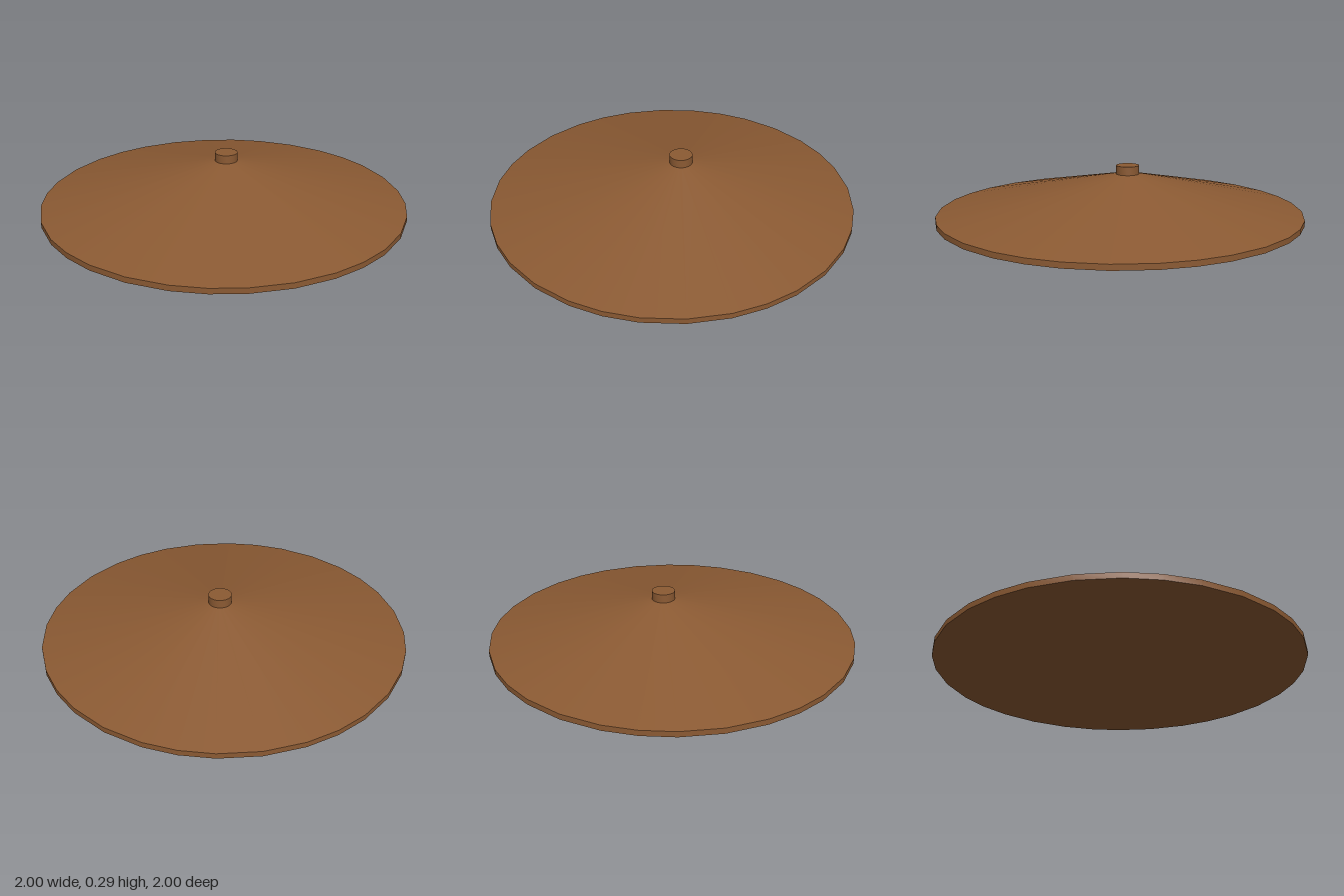
import * as THREE from 'three';
import { mergeGeometries } from 'three/addons/utils/BufferGeometryUtils.js';

// Rim angles: eight arcs of four unequal steps, clockwise seen from above
const ANGLES = [];
for (let arc = 0; arc < 8; arc++) {
  for (const step of [0, 10.15, 22.5, 34.85]) {
    ANGLES.push(THREE.MathUtils.degToRad(4.7 + arc * 45 + step));
  }
}

// The hub sits slightly off the centre of the disc
const HUB = { x: 0.015, z: -0.05, r: 0.063 };
const ring = (r, y, x = 0, z = 0) => ANGLES.map((a) => [x + r * Math.sin(a), y, z - r * Math.cos(a)]);
const hubRing = (r, y) => ring(r, y, HUB.x, HUB.z);

// Smooth strip between two rings; separate strips keep sharp edges between them
function band(a, b) {
  const n = ANGLES.length;
  const index = [];
  for (let i = 0; i < n; i++) {
    const j = (i + 1) % n;
    index.push(i, n + i, n + j, i, n + j, j);
  }
  const geometry = new THREE.BufferGeometry();
  geometry.setAttribute('position', new THREE.Float32BufferAttribute([...a, ...b].flat(), 3));
  geometry.setIndex(index);
  geometry.computeVertexNormals();
  return geometry;
}

// Joins consecutive rings, bottom to top, into one mesh
function stack(name, rings, material) {
  const bands = rings.slice(1).map((r, i) => band(rings[i], r));
  const mesh = new THREE.Mesh(mergeGeometries(bands), material);
  mesh.name = name;
  return mesh;
}

export function createModel() {
  const group = new THREE.Group();
  group.name = 'shallowCone';
  const brown = new THREE.MeshStandardMaterial({ color: 0x8b5a33 });

  // Flat underside, thin rim and the sloping cone leaning to the hub
  group.add(stack('coneDisc', [
    ring(0, 0), ring(1.004, 0), ring(1.004, 0.03), hubRing(HUB.r, 0.24),
  ], brown));

  // Short cylindrical knob with a flat top
  group.add(stack('topKnob', [
    hubRing(HUB.r, 0.24), hubRing(HUB.r, 0.287), hubRing(0, 0.287),
  ], brown));

  return group;
}
